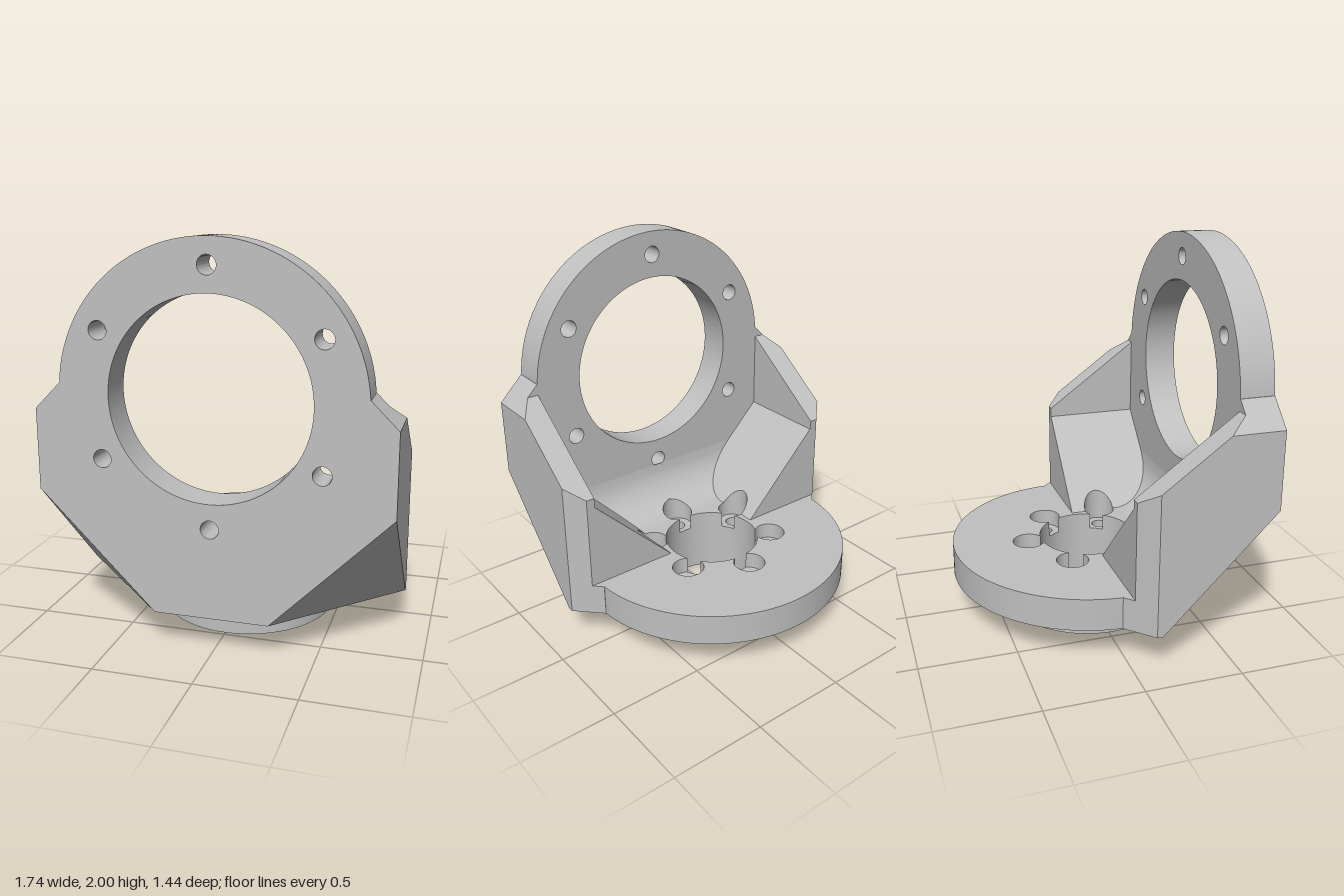
import * as THREE from 'three';
import { toCreasedNormals } from 'three/addons/utils/BufferGeometryUtils.js';

const PI = Math.PI;
const CZ = 0.02;                            // z of the base axis
const BORE = 0.26, BOLT = 0.333, POCKET = 0.085;
const FLOOR = 0.36, BOTTOM = 0.19, SEAT = 0.27; // base top, base underside, pocket floor
const FRONT = 0.72, BACK = 0.54;            // front and rear of the upright plate
const R = 0.25, Z0 = BACK - R;              // fillet between plate and base
const GX = 0.285, W = 0.87, WI = 0.74;      // gusset foot, outer wall, inner wall

const near = (a, b) => Math.abs(a - b) < 0.002;
const circle = (x, y, r) => new THREE.Path().absarc(x, y, r, 0, 2 * PI, false);
const ring = (cx, cy, dist, r) => Array.from({ length: 6 }, (_, k) => {
  const t = PI / 2 + k * PI / 3;
  return circle(cx + dist * Math.cos(t), cy + dist * Math.sin(t), r);
});
const extrude = (shape, depth) =>
  new THREE.ExtrudeGeometry(shape, { depth, bevelEnabled: false, curveSegments: 64 });

// triangles from convex (or fan-able) polygons
function polys(list) {
  const pos = [];
  for (const p of list)
    for (let i = 1; i < p.length - 1; i++) pos.push(...p[0], ...p[i], ...p[i + 1]);
  const g = new THREE.BufferGeometry();
  g.setAttribute('position', new THREE.Float32BufferAttribute(pos, 3));
  g.computeVertexNormals();
  return g;
}

// flat layer: outline in (x, z), extruded from y0 up to y1
function layer(shape, y0, y1) {
  return extrude(shape, y1 - y0).rotateX(PI / 2).translate(0, y1, 0);
}

// base outline with the front corners cut back by the 45 degree bevel at height y
function baseOutline(y) {
  const c = y - BOTTOM, s = new THREE.Shape();
  s.moveTo(GX + c, FRONT);
  s.lineTo(W, 0.135 + c);
  s.lineTo(W, 0.105);
  s.lineTo(WI, -0.025);
  s.absarc(0, CZ, WI, -0.06, -PI + 0.06, true);
  s.lineTo(-WI, -0.025);
  s.lineTo(-W, 0.105);
  s.lineTo(-W, 0.135 + c);
  s.lineTo(-GX - c, FRONT);
  s.closePath();
  return s;
}

function baseLayer(y0, y1, holes) {
  const s = baseOutline(y1), h = y1 - y0;
  s.holes.push(...holes);
  const g = layer(s, y0, y1), p = g.attributes.position;
  // slant the corner bevel
  for (let i = 0; i < p.count; i++) {
    if (!near(p.getY(i), y0)) continue;
    const x = p.getX(i), z = p.getZ(i);
    if (near(z, FRONT)) p.setX(i, x - Math.sign(x) * h);
    else if (near(Math.abs(x), W) && near(z, 0.135 + y1 - BOTTOM)) p.setZ(i, z - h);
  }
  return g;
}

// bore joined with six open screw pockets
function pocketedBore() {
  const a = Math.acos((BOLT ** 2 + BORE ** 2 - POCKET ** 2) / (2 * BOLT * BORE));
  const b = Math.asin(BORE * Math.sin(a) / POCKET);
  const pts = [];
  for (let k = 0; k < 6; k++) {
    const t = PI / 2 + k * PI / 3;
    for (let i = 0; i <= 32; i++) {
      const f = t + (PI - b) * (i / 16 - 1);
      pts.push(new THREE.Vector2(BOLT * Math.cos(t) + POCKET * Math.cos(f),
        CZ + BOLT * Math.sin(t) + POCKET * Math.sin(f)));
    }
    for (let i = 1; i < 12; i++) {
      const f = t + a + (PI / 3 - 2 * a) * i / 12;
      pts.push(new THREE.Vector2(BORE * Math.cos(f), CZ + BORE * Math.sin(f)));
    }
  }
  return new THREE.Path(pts);
}

// upright ring plate with slanted lower corners
function plateGeometry() {
  const s = new THREE.Shape();
  s.moveTo(GX, BOTTOM);
  s.lineTo(W, 0.775);
  s.lineTo(W, 1.18);
  s.lineTo(WI, 1.31);
  s.absarc(0, 1.26, WI, 0.068, PI - 0.068, false);
  s.lineTo(-WI, 1.31);
  s.lineTo(-W, 1.18);
  s.lineTo(-W, 0.775);
  s.lineTo(-GX, BOTTOM);
  s.closePath();
  s.holes.push(circle(0, 1.26, 0.49), ...ring(0, 1.26, 0.615, 0.045));
  const d = FRONT - BACK, g = extrude(s, d), p = g.attributes.position;
  for (let i = 0; i < p.count; i++) {
    if (!near(p.getZ(i), 0)) continue;
    const x = p.getX(i), y = p.getY(i);
    if (near(y, BOTTOM)) p.setX(i, x + Math.sign(x) * d);
    else if (near(y, 0.775) && near(Math.abs(x), W)) p.setY(i, y - d);
  }
  return g.translate(0, 0, BACK);
}

const rise = z => z <= Z0 ? 0 : R - Math.sqrt(Math.max(0, R * R - (z - Z0) ** 2));

// concave fillet, parted around the front screw pocket
function filletGeometry() {
  const quads = [], N = 48, zc = CZ + BOLT;
  const inner = z => Math.sqrt(Math.max(0, POCKET ** 2 - (z - zc) ** 2));
  for (const s of [1, -1])
    for (let i = 0; i < N; i++) {
      const a = Z0 + R * i / N, b = Z0 + R * (i + 1) / N;
      const q = [[s * inner(a), FLOOR + rise(a), a], [s * inner(b), FLOOR + rise(b), b],
        [s * (GX + rise(b)), FLOOR + rise(b), b], [s * (GX + rise(a)), FLOOR + rise(a), a]];
      quads.push(s > 0 ? q : q.reverse());
    }
  return polys(quads);
}

// upright part of a screw pocket, from the base top to the surface it cuts
function pocketWall(cx, cz, a0, a1, height) {
  const quads = [], N = 32;
  const at = i => {
    const t = a0 + (a1 - a0) * i / N;
    return [cx + POCKET * Math.cos(t), cz + POCKET * Math.sin(t)];
  };
  for (let i = 0; i < N; i++) {
    const [x, z] = at(i), [u, w] = at(i + 1);
    quads.push([[x, FLOOR, z], [u, FLOOR, w],
      [u, FLOOR + height(u, w), w], [x, FLOOR + height(x, z), z]]);
  }
  return polys(quads);
}

// flat faces of one side wall (s = 1 left, -1 right)
function wallGeometry(s) {
  const top = z => 1.25 - 0.735 * (BACK - z);
  const G = FLOOR + WI - GX, zb = CZ, xb = W - (0.105 - zb);
  return polys([
    [[W, FLOOR, 0.105], [W, top(0.105), 0.105], [W, 1.18, 0.445], [W, 1.18, BACK], [W, 0.595, BACK], [W, FLOOR, 0.305]],
    [[W, 1.18, 0.445], [0.8, 1.25, BACK], [W, 1.18, BACK]],
    [[W, FLOOR, 0.305], [W, 0.595, BACK], [0.635, FLOOR, BACK]],
    [[WI, top(zb), zb], [WI, 1.25, BACK], [0.8, 1.25, BACK], [W, 1.18, 0.445], [W, top(0.105), 0.105], [xb, top(zb), zb]],
    [[xb, FLOOR, zb], [xb, top(zb), zb], [W, top(0.105), 0.105], [W, FLOOR, 0.105]],
    [[xb, FLOOR, zb], [GX, FLOOR, zb], [WI, G, zb], [WI, top(zb), zb], [xb, top(zb), zb]],
    [[WI, G, zb], [WI, G, BACK], [WI, 1.25, BACK], [WI, top(zb), zb]],
  ].map(f => {
    const q = f.map(([x, y, z]) => [s * x, y, z]);
    return s > 0 ? q : q.reverse();
  }));
}

// 45 degree gusset face, notched by a screw pocket and trimmed by the fillet
function gussetGeometry(s, px, pz) {
  const o = new THREE.Shape();
  o.moveTo(GX, CZ);
  o.lineTo(GX, pz - POCKET);
  o.absarc(px, pz, POCKET, -PI / 2, PI / 2, false);
  o.lineTo(GX, Z0);
  o.absarc(GX + R, Z0, R, PI, PI / 2, true);
  o.lineTo(WI, BACK);
  o.lineTo(WI, CZ);
  o.closePath();
  const g = new THREE.ShapeGeometry(o, 32).rotateX(PI / 2), p = g.attributes.position;
  for (let i = 0; i < p.count; i++) p.setY(i, FLOOR + p.getX(i) - GX);
  g.scale(s, 1, 1);
  if (s < 0) g.index.array.reverse();
  g.computeVertexNormals();
  return g;
}

export function createModel() {
  const model = new THREE.Group();
  model.name = 'bracket';
  const grey = new THREE.MeshStandardMaterial({ color: 0xc0c0c0, side: THREE.DoubleSide });
  grey.name = 'grey';
  const add = (name, geometry) => {
    const mesh = new THREE.Mesh(toCreasedNormals(geometry, 0.4), grey);
    mesh.name = name;
    model.add(mesh);
  };
  const through = () => [circle(0, CZ, BORE), ...ring(0, CZ, BOLT, 0.042)];

  // round spigot below the base
  const spigot = new THREE.Shape().absarc(0, CZ, 0.46, 0, 2 * PI, false);
  spigot.holes.push(...through());
  add('spigot', layer(spigot, 0, BOTTOM));

  // base, lower with bolt holes and upper with pockets
  add('baseLower', baseLayer(BOTTOM, SEAT, through()));
  add('baseUpper', baseLayer(SEAT, FLOOR, [pocketedBore()]));

  add('ringPlate', plateGeometry());
  add('fillet', filletGeometry());
  add('frontPocketWall', pocketWall(0, CZ + BOLT, -PI / 3, 4 * PI / 3, (x, z) => rise(z)));

  // mirrored side walls and gussets
  const px = BOLT * Math.cos(PI / 6), pz = CZ + BOLT / 2;
  for (const [s, side] of [[1, 'left'], [-1, 'right']]) {
    add(side + 'Wall', wallGeometry(s));
    add(side + 'Gusset', gussetGeometry(s, px, pz));
    const a = s > 0 ? 0 : PI;
    add(side + 'PocketWall', pocketWall(s * px, pz, a - PI / 2, a + PI / 2,
      x => Math.max(0, Math.abs(x) - GX)));
  }
  return model;
}
